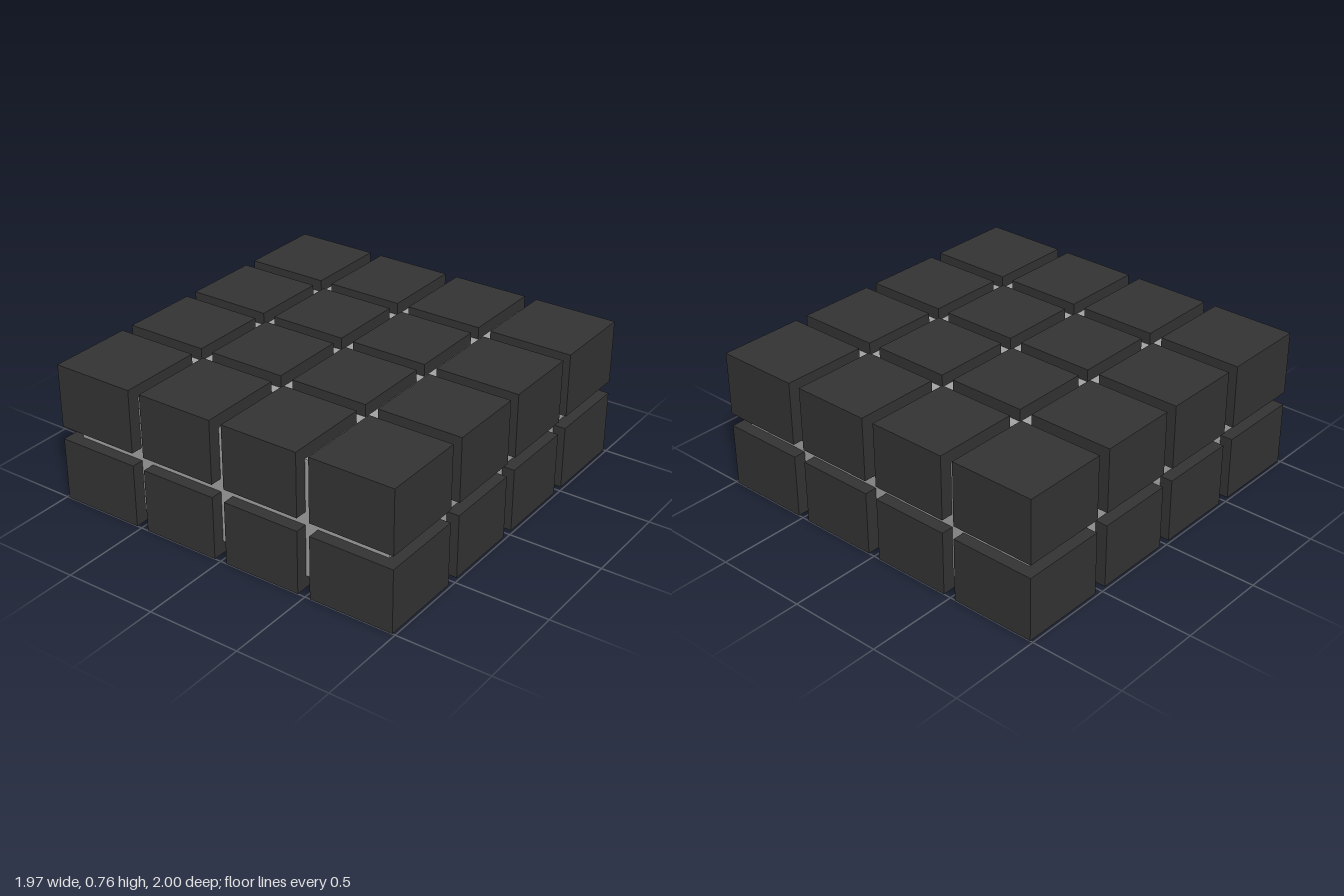
import * as THREE from 'three';

// Edge pairs of the blocks along each axis
const SPANS_X = [[-0.985, -0.528], [-0.459, -0.035], [0.035, 0.459], [0.528, 0.985]];
const SPANS_Y = [[0, 0.343], [0.413, 0.756]];
const SPANS_Z = [[-1, -0.535], [-0.463, -0.035], [0.035, 0.463], [0.535, 1]];

function boxBetween(name, material, [x0, x1], [y0, y1], [z0, z1]) {
  const mesh = new THREE.Mesh(new THREE.BoxGeometry(x1 - x0, y1 - y0, z1 - z0), material);
  mesh.position.set((x0 + x1) / 2, (y0 + y1) / 2, (z0 + z1) / 2);
  mesh.name = name;
  return mesh;
}

export function createModel() {
  const charcoal = new THREE.MeshStandardMaterial({ color: 0x343434 });
  charcoal.name = 'charcoal';
  const grey = new THREE.MeshStandardMaterial({ color: 0xa3a3a3 });
  grey.name = 'grey';

  const model = new THREE.Group();
  model.name = 'blockPuzzle';

  // Inner core seen through the gaps
  model.add(boxBetween('core', grey, [-0.918, 0.918], [0.065, 0.691], [-0.934, 0.934]));

  // Two layers of four by four blocks
  const layerNames = ['lowerBlocks', 'upperBlocks'];
  SPANS_Y.forEach((y, layer) => {
    const blocks = new THREE.Group();
    blocks.name = layerNames[layer];
    for (const x of SPANS_X) {
      for (const z of SPANS_Z) blocks.add(boxBetween('block', charcoal, x, y, z));
    }
    model.add(blocks);
  });

  return model;
}
